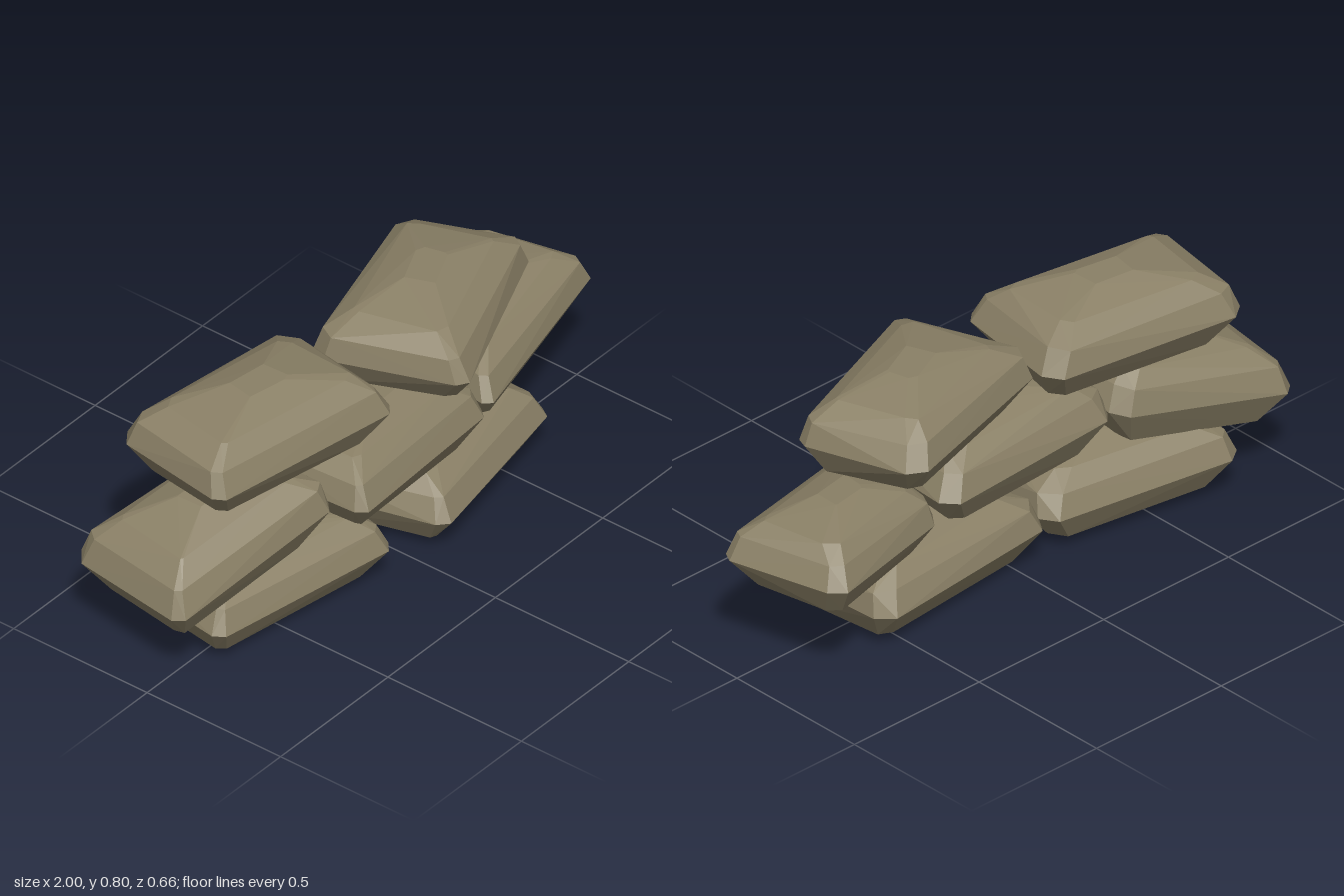
import * as THREE from 'three';
import { ConvexGeometry } from 'three/addons/geometries/ConvexGeometry.js';

// Each bag: plan corners [x, z] (back left, front left, front right, back right
// as seen from the front), height range, and rise from its middle to its +x end.
const BAGS = [
  { name: 'bottomRowRightBag', plan: [[-0.76, -0.295], [-0.82, 0.125], [-0.14, 0.24], [-0.075, -0.18]], y: [0.005, 0.29], rise: 0 },
  { name: 'bottomRowLeftBag', plan: [[-0.1, -0.18], [0.03, 0.295], [0.665, 0.175], [0.635, -0.25]], y: [0, 0.29], rise: 0 },
  { name: 'middleRowRightBag', plan: [[-0.94, -0.335], [-1.005, 0.125], [-0.37, 0.2], [-0.345, -0.2]], y: [0.2, 0.52], rise: 0.05 },
  { name: 'middleRowCentreBag', plan: [[-0.37, -0.17], [-0.345, 0.285], [0.3, 0.235], [0.325, -0.19]], y: [0.24, 0.54], rise: -0.01 },
  { name: 'middleRowLeftBag', plan: [[0.38, -0.21], [0.32, 0.22], [1.01, 0.06], [0.905, -0.345]], y: [0.245, 0.53], rise: 0.01 },
  { name: 'topRowRightBag', plan: [[-0.76, -0.31], [-0.825, 0.13], [-0.14, 0.245], [-0.07, -0.205]], y: [0.5, 0.8], rise: 0 },
  { name: 'topRowLeftBag', plan: [[-0.1, -0.125], [0.075, 0.335], [0.695, 0.075], [0.56, -0.315]], y: [0.5, 0.795], rise: 0 },
];

// Layers of a bag from bottom to top: [height, length scale, width scale]
const SEAM = 0.48;
const LAYERS = [
  [0, 0.45, 0.32], [0.13, 0.8, 0.73], [SEAM, 1, 1],
  [0.73, 0.92, 0.88], [0.88, 0.71, 0.64], [1, 0.22, 0.2],
];
// Outline with clipped corners in the unit square, blunter at the back
const OUTLINE = [[-1, -0.8], [-1, 0.85], [-0.92, 1], [0.92, 1], [1, 0.85], [1, -0.76], [0.87, -1], [-0.87, -1]];

function seeded(seed) {
  let s = seed;
  return () => {
    s = (s * 16807) % 2147483647;
    return s / 2147483647 - 0.5;
  };
}

// Bilinear position inside the plan quad
function onPlan([lb, lf, rf, rb], u, v) {
  const a = (u + 1) / 2, b = (v + 1) / 2;
  return [0, 1].map(i => (1 - a) * ((1 - b) * lb[i] + b * lf[i]) + a * ((1 - b) * rb[i] + b * rf[i]));
}

// Convex lump: full at the seam, domed above and below, with uneven folds
function bagGeometry({ plan, y, rise }, seed) {
  const rand = seeded(seed);
  const points = [];
  for (const [h, lengthScale, widthScale] of LAYERS) {
    const loose = h === SEAM ? 0 : 0.08;
    for (const [u, v] of OUTLINE) {
      const uu = u * lengthScale + rand() * loose;
      const vv = v * widthScale + rand() * loose;
      const [x, z] = onPlan(plan, uu, vv);
      points.push(new THREE.Vector3(x, THREE.MathUtils.lerp(y[0], y[1], h) + rise * uu, z));
    }
  }
  return new ConvexGeometry(points);
}

export function createModel() {
  const group = new THREE.Group();
  group.name = 'sandbagWall';
  // Hull faces carry their own normals, so the facets stay flat
  const sack = new THREE.MeshStandardMaterial({ color: 0x8a8066 });
  sack.name = 'sackcloth';

  BAGS.forEach((bag, i) => {
    const mesh = new THREE.Mesh(bagGeometry(bag, 1234 + i * 7919), sack);
    mesh.name = bag.name;
    group.add(mesh);
  });
  return group;
}
